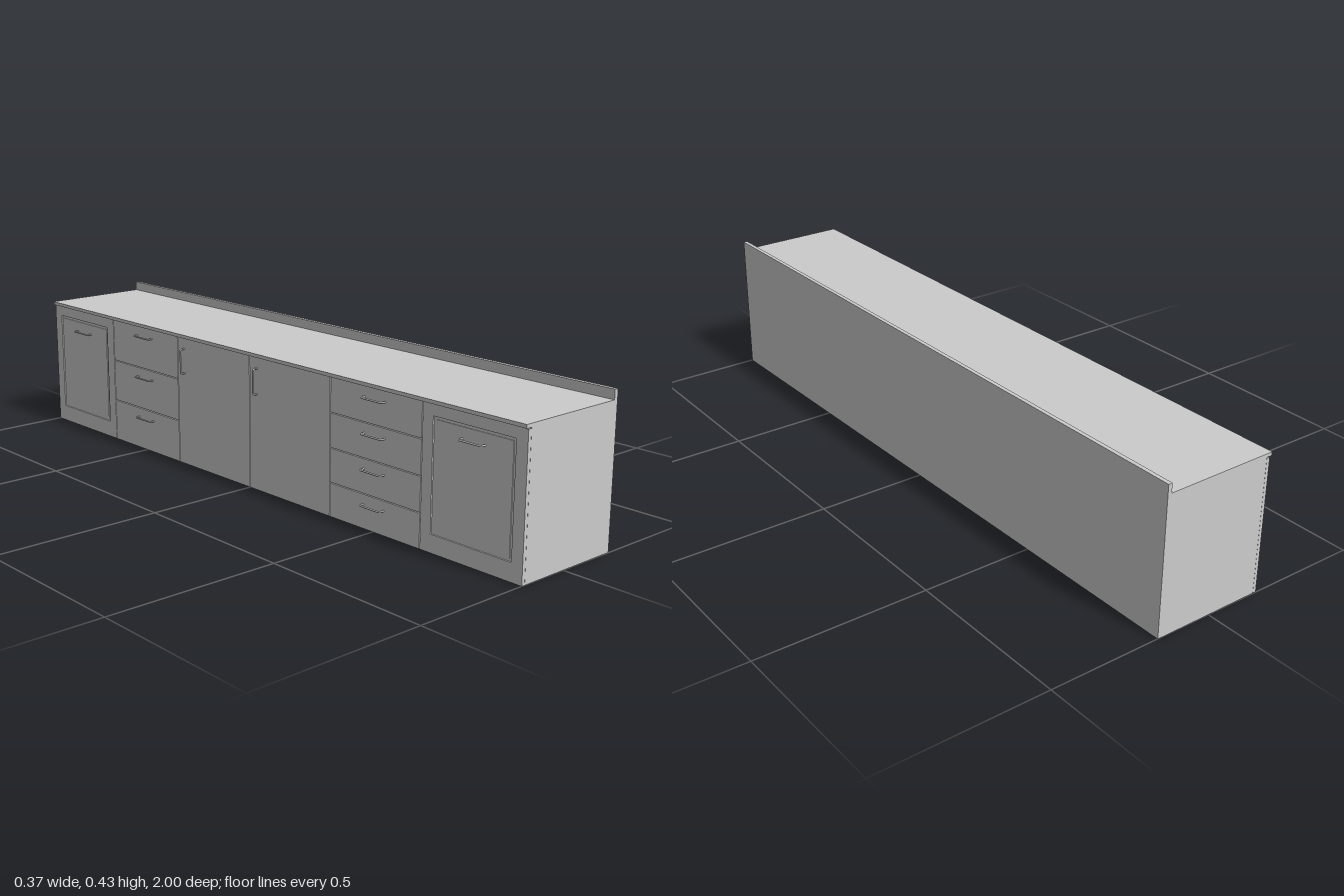
import * as THREE from 'three';

const LENGTH = 2, MODULE = LENGTH / 6, DOOR_TOP = 0.39, GAP = 0.0025;
const DOOR_BACK = -0.152, DOOR_FACE = -0.162;

export function createModel() {
  const model = new THREE.Group();
  model.name = 'baseCabinetRow';
  const material = new THREE.MeshStandardMaterial({ color: 0xcccccc });

  const add = (name, geometry) => {
    const mesh = new THREE.Mesh(geometry, material);
    mesh.name = name;
    model.add(mesh);
    return mesh;
  };

  // Box given by its limits on each axis
  const box = (name, x0, x1, y0, y1, z0, z1) =>
    add(name, new THREE.BoxGeometry(x1 - x0, y1 - y0, z1 - z0))
      .position.set((x0 + x1) / 2, (y0 + y1) / 2, (z0 + z1) / 2);

  const outline = (Type, z0, z1, y0, y1) => new Type([
    new THREE.Vector2(z0, y0), new THREE.Vector2(z1, y0),
    new THREE.Vector2(z1, y1), new THREE.Vector2(z0, y1),
  ]);

  // Bow handle: two feet joined by a bar with rounded corners
  const handle = (z, y, face, vertical) => {
    const half = 0.037, reach = 0.0155, r = 0.006;
    const p = (along, out) => vertical
      ? new THREE.Vector3(face - out, y + along, z)
      : new THREE.Vector3(face - out, y, z + along);
    const path = new THREE.CurvePath();
    path.add(new THREE.LineCurve3(p(-half, 0), p(-half, reach - r)));
    path.add(new THREE.QuadraticBezierCurve3(p(-half, reach - r), p(-half, reach), p(-half + r, reach)));
    path.add(new THREE.LineCurve3(p(-half + r, reach), p(half - r, reach)));
    path.add(new THREE.QuadraticBezierCurve3(p(half - r, reach), p(half, reach), p(half, reach - r)));
    path.add(new THREE.LineCurve3(p(half, reach - r), p(half, 0)));
    add('handle', new THREE.TubeGeometry(path, 48, 0.0025, 10));
  };

  // Carcass, worktop and rear upstand
  box('carcass', -0.1515, 0.176, 0, 0.39, -1, 1);
  box('worktop', -0.169, 0.176, 0.39, 0.4, -1, 1);
  box('upstand', 0.164, 0.176, 0.4, 0.427, -1, 1);

  // Door with a framed, recessed panel
  const framedDoor = (z0, z1) => {
    const a = z0 + 0.035, b = z1 - 0.035, bottom = 0.05, top = 0.358, face = DOOR_FACE + 0.004;
    const shape = outline(THREE.Shape, z0, z1, 0, DOOR_TOP - GAP);
    shape.holes.push(outline(THREE.Path, a, b, bottom, top));
    const frame = add('doorFrame', new THREE.ExtrudeGeometry(shape, {
      depth: DOOR_BACK - DOOR_FACE, bevelEnabled: false,
    }));
    frame.rotation.y = -Math.PI / 2;
    frame.position.x = DOOR_BACK;
    box('doorPanel', face, DOOR_BACK, bottom, top, a, b);
    // raised centre field leaves a narrow groove around the panel
    box('panelField', face - 0.002, face, bottom + 0.008, top - 0.008, a + 0.008, b - 0.008);
    handle((z0 + z1) / 2, 0.32, face - 0.002, false);
  };

  // Plain door with an upright handle beside its opening edge
  const plainDoor = (z0, z1) => {
    box('door', DOOR_FACE, DOOR_BACK, 0, DOOR_TOP - GAP, z0, z1);
    handle(z0 + 0.032, 0.32, DOOR_FACE, true);
  };

  // Stack of equal drawer fronts
  const drawers = (z0, z1, count) => {
    const pitch = DOOR_TOP / count;
    for (let i = 0; i < count; i++) {
      box('drawerFront', DOOR_FACE, DOOR_BACK, i * pitch, (i + 1) * pitch - GAP, z0, z1);
      handle((z0 + z1) / 2, (i + 1) * pitch - 0.03, DOOR_FACE, false);
    }
  };

  // Six modules along the run
  const modules = [
    framedDoor,
    (a, b) => drawers(a, b, 3),
    plainDoor,
    plainDoor,
    (a, b) => drawers(a, b, 4),
    framedDoor,
  ];
  modules.forEach((build, i) => {
    const start = -LENGTH / 2 + i * MODULE;
    build(start + (i ? GAP / 2 : 0), start + MODULE - (i < 5 ? GAP / 2 : 0));
  });

  // The run stands very slightly turned
  model.rotation.y = 0.006;
  const root = new THREE.Group();
  root.add(model);
  return root;
}
